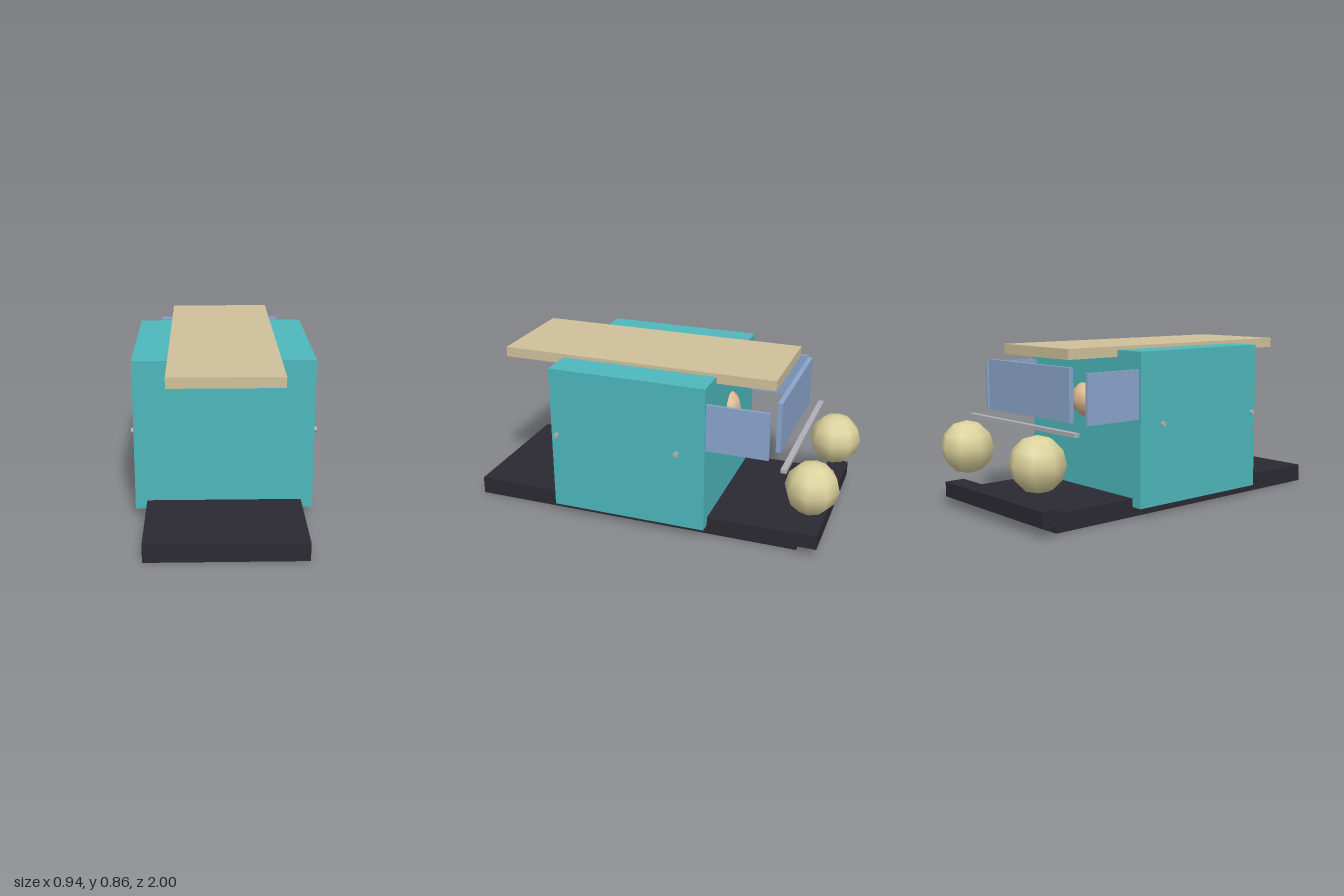
import * as THREE from 'three';

const mat = (name, color) => Object.assign(new THREE.MeshStandardMaterial({ color }), { name });

export function createModel() {
  const teal = mat('teal paint', 0x4db8bc);
  const beige = mat('beige roof', 0xd0c19b);
  const dark = mat('dark chassis', 0x2b2a33);
  const glass = mat('blue glass', 0x8ba5cc);
  const cream = mat('cream lamp', 0xdbd29c);
  const metal = mat('grey metal', 0xb0b0b6);
  const skin = mat('peach', 0xe3bd94);

  const group = new THREE.Group();
  const add = (name, geometry, material, x, y, z) => {
    const mesh = new THREE.Mesh(geometry, material);
    mesh.name = name;
    mesh.position.set(x, y, z);
    group.add(mesh);
    return mesh;
  };
  // Box given by its minimum and maximum on each axis
  const box = (name, material, [x0, x1], [y0, y1], [z0, z1]) =>
    add(name, new THREE.BoxGeometry(x1 - x0, y1 - y0, z1 - z0), material,
      (x0 + x1) / 2, (y0 + y1) / 2, (z0 + z1) / 2);

  // Chassis, cabin and roof
  box('chassis', dark, [-0.395, 0.395], [0, 0.095], [-0.815, 1]);
  box('cabin', teal, [-0.455, 0.455], [0.05, 0.84], [-0.335, 0.515]);
  box('roof', beige, [-0.277, 0.277], [0.805, 0.858], [-0.645, 0.855]);

  // Bumper, cross bar and windscreen at the rear end
  box('bumper', dark, [-0.44, 0.44], [0.05, 0.13], [-0.925, -0.815]);
  box('crossBar', metal, [-0.465, 0.465], [0.46, 0.48], [-0.757, -0.727]);
  box('windscreen', glass, [-0.35, 0.35], [0.51, 0.775], [-0.697, -0.672]);

  // Rounded head poking out of the cabin wall
  add('head', new THREE.SphereGeometry(0.1, 8, 6), skin, 0, 0.565, -0.295);

  for (const [side, s] of [['left', 1], ['right', -1]]) {
    add(side + 'Window', new THREE.BoxGeometry(0.015, 0.25, 0.325), glass, s * 0.435, 0.628, -0.4975);
    add(side + 'Lamp', new THREE.SphereGeometry(0.14, 8, 6), cream, s * 0.315, 0.328, -0.86);
    // Door knobs
    for (const z of [0.487, -0.185]) {
      const knob = add(side + 'Knob', new THREE.CylinderGeometry(0.015, 0.015, 0.03, 8), metal, s * 0.453, 0.468, z);
      knob.rotation.z = Math.PI / 2;
    }
  }
  return group;
}
